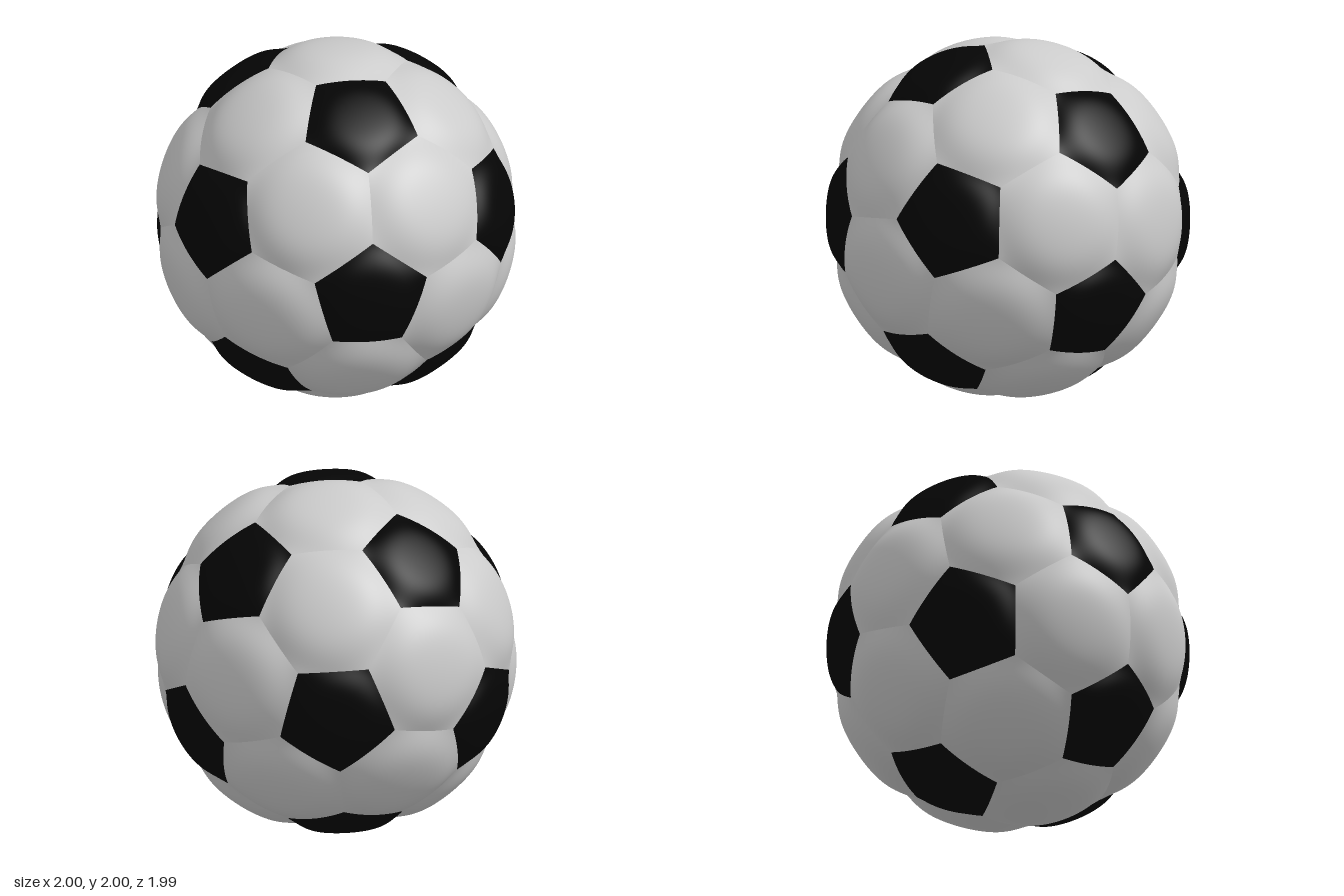
import * as THREE from 'three';
import { mergeVertices } from 'three/addons/utils/BufferGeometryUtils.js';

const SEAM = 0.967, CROWN = 1.003, ROWS = 18;

// Twelve icosahedron directions, turned to the ball's resting pose
function icosahedronPoints() {
  const z = new THREE.Vector3(-0.165, 0.57, 0.805).normalize();
  const x = new THREE.Vector3(0.19, 0.819, -0.541).cross(z).normalize();
  const y = z.clone().cross(x);
  const pose = new THREE.Matrix4().makeBasis(x, y, z);
  const phi = (1 + Math.sqrt(5)) / 2, points = [];
  for (const a of [-1, 1]) for (const b of [-phi, phi])
    for (const p of [[0, a, b], [a, b, 0], [b, 0, a]])
      points.push(new THREE.Vector3(...p).normalize().applyMatrix4(pose));
  return points;
}

// Sort corners counter-clockwise as seen from outside
function sortAround(centre, corners) {
  const u = corners[0].clone().projectOnPlane(centre).normalize();
  const v = centre.clone().cross(u);
  const angle = (p) => Math.atan2(p.dot(v), p.dot(u));
  return corners.sort((p, q) => angle(p) - angle(q));
}

// A padded panel: a spherical polygon that swells smoothly from its seams
function panelGeometry(centre, corners) {
  sortAround(centre, corners);
  const n = corners.length;
  const walls = corners.map((c, i) => c.clone().cross(corners[(i + 1) % n]).normalize());
  const height = (p) => walls.reduce((h, w) => h * Math.max(0, p.dot(w) / centre.dot(w)), 1);
  const positions = [];
  const add = (a, b, row, col) => {
    const s = row / ROWS, k = row ? col / row : 0;
    const p = centre.clone().multiplyScalar(1 - s)
      .addScaledVector(a, s * (1 - k)).addScaledVector(b, s * k).normalize();
    const swell = 1 - Math.pow(1 - Math.min(1, height(p)), 3);
    p.multiplyScalar(SEAM + (CROWN - SEAM) * swell);
    positions.push(p.x, p.y, p.z);
  };
  for (let i = 0; i < n; i++) {
    const a = corners[i], b = corners[(i + 1) % n];
    for (let r = 0; r < ROWS; r++) for (let c = 0; c <= r; c++) {
      add(a, b, r, c); add(a, b, r + 1, c); add(a, b, r + 1, c + 1);
      if (c < r) { add(a, b, r, c); add(a, b, r + 1, c + 1); add(a, b, r, c + 1); }
    }
  }
  const raw = new THREE.BufferGeometry();
  raw.setAttribute('position', new THREE.Float32BufferAttribute(positions, 3));
  const geometry = mergeVertices(raw, 1e-5);
  geometry.computeVertexNormals();
  return geometry;
}

export function createModel() {
  const ball = new THREE.Group();
  ball.name = 'ball';
  const grey = new THREE.MeshStandardMaterial({ color: 0xcccccc });
  const black = new THREE.MeshStandardMaterial({ color: 0x050505 });
  const points = icosahedronPoints();
  const near = (p, q) => p !== q && p.dot(q) > 0.4;
  const third = (p, q) => p.clone().multiplyScalar(2).add(q).normalize();
  const addPanel = (name, centre, corners, material) => {
    const mesh = new THREE.Mesh(panelGeometry(centre, corners), material);
    mesh.name = name;
    mesh.position.y = 1;
    ball.add(mesh);
  };

  // Black pentagons, one at each icosahedron corner
  for (const p of points)
    addPanel('pentagonPanel', p, points.filter((q) => near(p, q)).map((q) => third(p, q)), black);

  // Grey hexagons, one on each icosahedron face
  points.forEach((p, i) => points.forEach((q, j) => points.forEach((r, k) => {
    if (!(i < j && j < k && near(p, q) && near(q, r) && near(p, r))) return;
    const corners = [[p, q], [q, p], [q, r], [r, q], [r, p], [p, r]].map(([a, b]) => third(a, b));
    addPanel('hexagonPanel', p.clone().add(q).add(r).normalize(), corners, grey);
  })));
  return ball;
}
